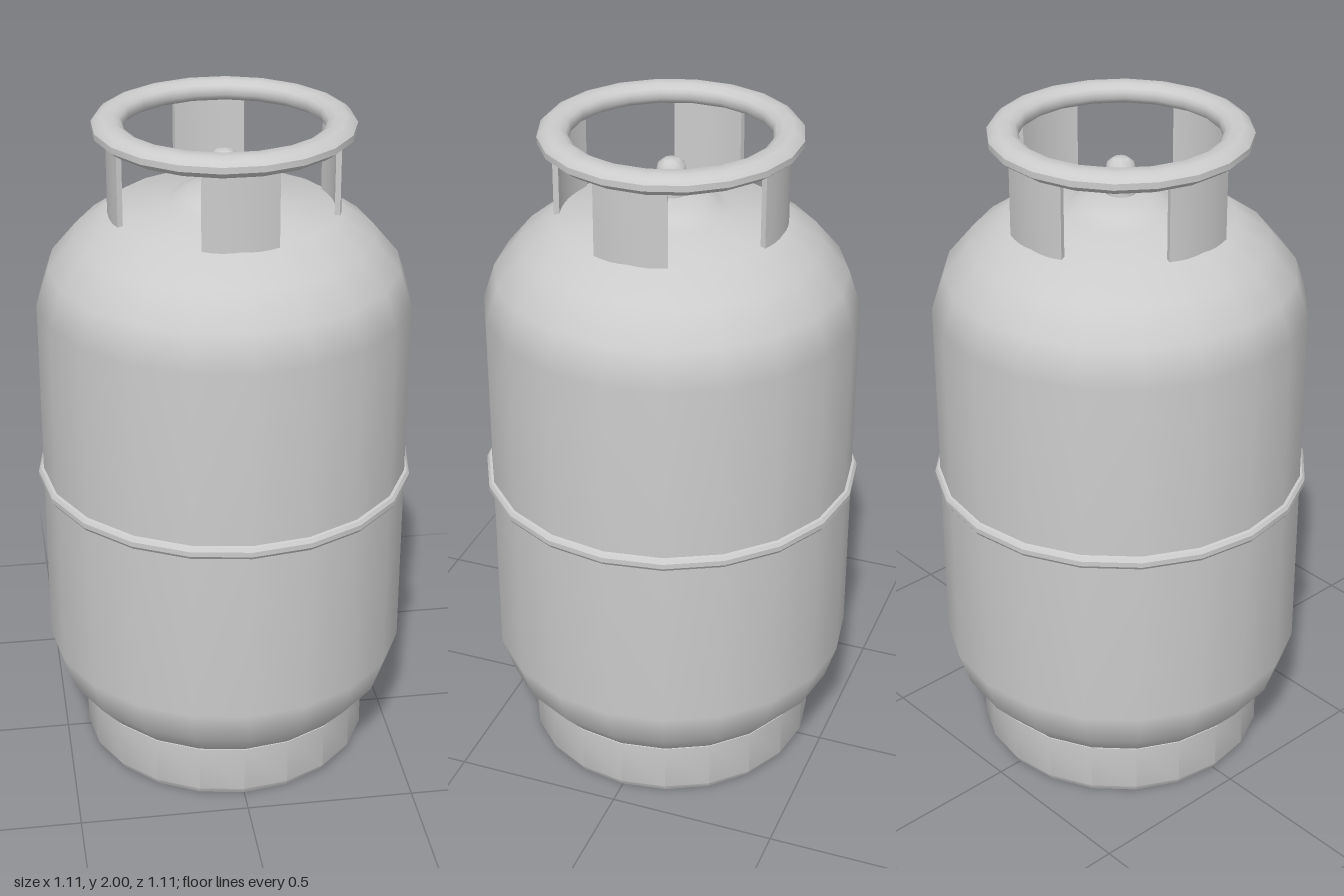
import * as THREE from 'three';
import { toCreasedNormals } from 'three/addons/utils/BufferGeometryUtils.js';

const SIDES = 20;
const grey = new THREE.MeshStandardMaterial({ color: 0xcccccc });

// Revolves [radius, height] points; a crease angle keeps hard edges sharp
function turned(name, profile, { crease = 0, start = 0, sides = SIDES } = {}) {
  const points = profile.map(([r, y]) => new THREE.Vector2(r, y));
  let geometry = new THREE.LatheGeometry(points, sides, start);
  if (crease) geometry = toCreasedNormals(geometry, crease);
  const mesh = new THREE.Mesh(geometry, grey);
  mesh.name = name;
  return mesh;
}

// Curved upright plate, centred on +z
function handlePost(angle) {
  const outer = 0.33, inner = 0.314, half = 0.33, bottom = 1.705, top = 1.96;
  const shape = new THREE.Shape();
  shape.absarc(0, 0, outer, -half, half, false);
  shape.absarc(0, 0, inner, half, -half, true);
  shape.closePath();
  let geometry = new THREE.ExtrudeGeometry(shape, { depth: top - bottom, bevelEnabled: false, curveSegments: 4 });
  geometry.rotateX(-Math.PI / 2).translate(0, bottom, 0);
  geometry = toCreasedNormals(geometry, 0.6);
  const mesh = new THREE.Mesh(geometry, grey);
  mesh.name = 'handlePost';
  mesh.rotation.y = angle;
  return mesh;
}

export function createModel() {
  const model = new THREE.Group();
  model.name = 'gasCylinder';

  // Tank with domed ends
  model.add(turned('tank', [
    [0, 0.065], [0.165, 0.07], [0.33, 0.1], [0.43, 0.165], [0.505, 0.25], [0.54, 0.36],
    [0.54, 1.46], [0.505, 1.565], [0.43, 1.655], [0.33, 1.725], [0.165, 1.75],
    [0.135, 1.775], [0.105, 1.786], [0.06, 1.797], [0, 1.8],
  ]));

  // Weld band around the middle
  model.add(turned('weldBand', [
    [0.535, 0.893], [0.548, 0.897], [0.555, 0.907], [0.555, 0.922], [0.548, 0.932], [0.535, 0.936],
  ], { crease: 0.6 }));

  // Hollow foot ring with a chamfered lower lip
  model.add(turned('footRing', [
    [0.405, 0.175], [0.405, 0.02], [0.412, 0], [0.422, 0], [0.433, 0.02], [0.433, 0.165], [0.405, 0.175],
  ], { crease: 0.5 }));

  // Valve stem with rounded knob
  model.add(turned('valve', [
    [0.045, 1.78], [0.043, 1.86], [0.038, 1.885], [0.022, 1.898], [0, 1.901],
  ], { crease: 0.9, sides: 16 }));

  // Four posts carrying the handle ring
  const handle = new THREE.Group();
  handle.name = 'handle';
  for (let i = 0; i < 4; i++) handle.add(handlePost(i * Math.PI / 2));
  handle.add(turned('handleRing', [
    [0.308, 1.94], [0.34, 1.94], [0.358, 1.952], [0.37, 1.962], [0.37, 1.98], [0.358, 1.993],
    [0.34, 2], [0.308, 2], [0.29, 1.99], [0.283, 1.98], [0.283, 1.962], [0.29, 1.95], [0.308, 1.94],
  ], { crease: 0.7, start: Math.PI / SIDES }));
  model.add(handle);

  return model;
}
